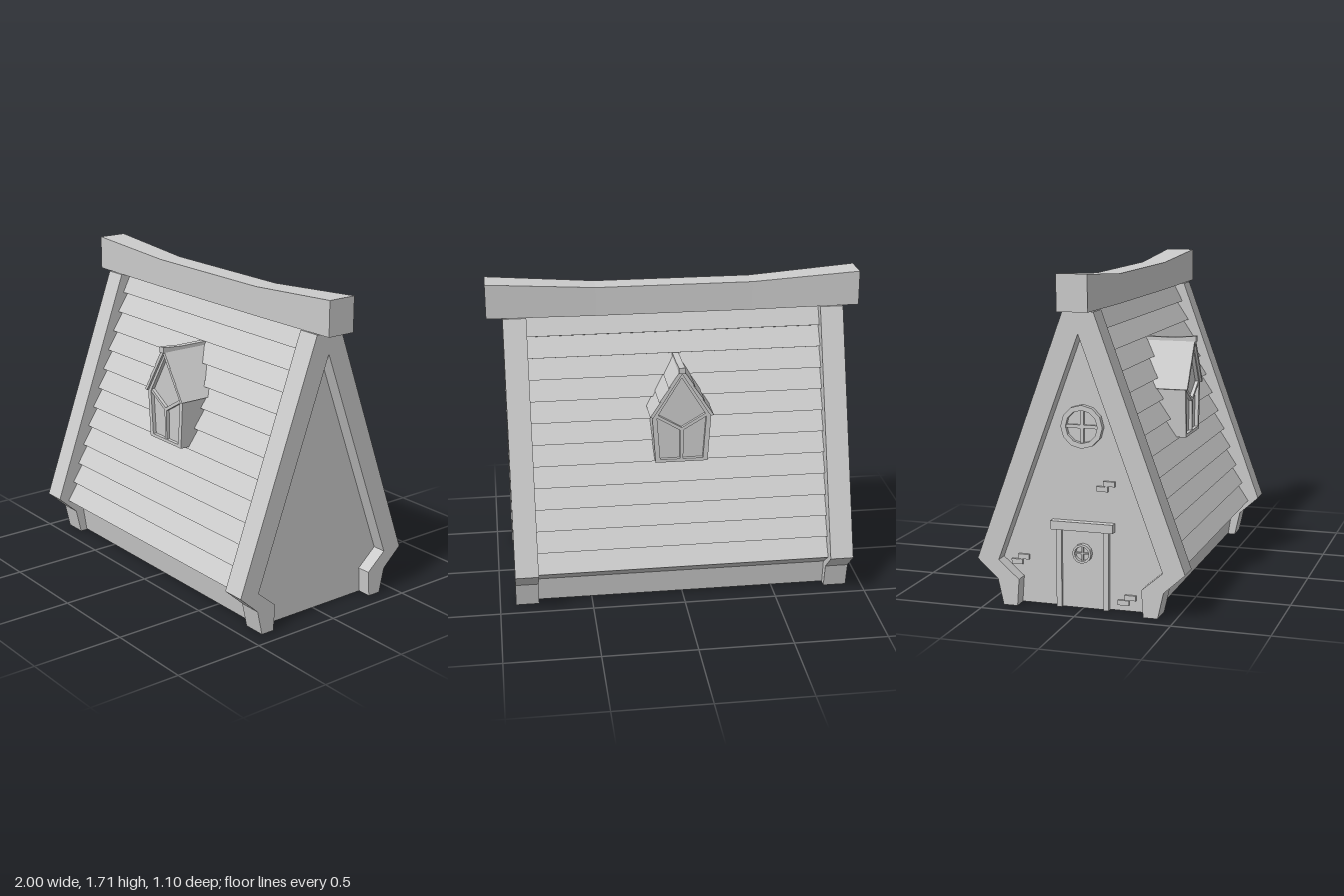
import * as THREE from 'three';

const material = new THREE.MeshStandardMaterial({ color: 0xcccccc, flatShading: true });

function add(parent, name, geometry) {
  const mesh = new THREE.Mesh(geometry, material);
  mesh.name = name;
  parent.add(mesh);
  return mesh;
}

function box(parent, name, w, h, d, x, y, z) {
  const mesh = add(parent, name, new THREE.BoxGeometry(w, h, d));
  mesh.position.set(x, y, z);
  return mesh;
}

// Bar lying in the xy plane between two points
function bar(parent, name, [x1, y1], [x2, y2], width, depth, z) {
  const mesh = box(parent, name, Math.hypot(x2 - x1, y2 - y1), width, depth, (x1 + x2) / 2, (y1 + y2) / 2, z);
  mesh.rotation.z = Math.atan2(y2 - y1, x2 - x1);
  return mesh;
}

const toShape = (points) => new THREE.Shape(points.map(([x, y]) => new THREE.Vector2(x, y)));

// Closes a right half profile with its mirror image
const mirrored = (half) => [...half, ...half.map(([x, y]) => [-x, y]).reverse()];

// Prism from z0 to z1, with an optional hole
function prism(points, z0, z1, hole) {
  const shape = toShape(points);
  if (hole) shape.holes.push(toShape(hole));
  return new THREE.ExtrudeGeometry(shape, { depth: z1 - z0, bevelEnabled: false }).translate(0, 0, z0);
}

// Prism along x from a (z, y) profile
const prismX = (points, x0, x1) => prism(points, -x1, -x0).rotateY(-Math.PI / 2);

// Clapboard roof with eaves and base
function createRoof(house) {
  const half = [[0.37, 0.005], [0.39, 0.14]];
  const lip = (y) => 0.49 - 0.35 * (y - 0.215);
  for (let i = 0; i < 12; i++) {
    const y = 0.215 + 0.109 * i;
    const next = y + 0.109;
    half.push([lip(y), y], [Math.max(lip(next) - 0.028, 0.02), next - 0.01]);
  }
  add(house, 'plankRoof', prismX(mirrored(half), -0.8, 0.8));
}

// Gable frames and recessed end walls
function createGables(house) {
  const outer = [[0.41, 0], [0.44, 0.135], [0.55, 0.235], [0.08, 1.52]];
  const inner = [[0.335, 0], [0.325, 0.14], [0.435, 0.235], [0, 1.41]];
  const left = ([z, y]) => [-z, y];
  const frame = [
    ...outer, ...outer.map(left).reverse(),
    ...inner.slice(0, 3).map(left), ...inner.slice().reverse(),
  ];
  const wall = [[0.338, 0.002], [0.33, 0.14], [0.44, 0.235], [0, 1.42], [-0.44, 0.235], [-0.33, 0.14], [-0.338, 0.002]];
  for (const side of [-1, 1]) {
    const x = side * 0.8525;
    add(house, 'gableFrame', prismX(frame, x - 0.0625, x + 0.0625));
    add(house, 'endWall', prismX(wall, side * 0.81 - 0.03, side * 0.81 + 0.03));
  }
}

// Sagging ridge beam, thicker at both ends
function createRidge(house) {
  const geometry = new THREE.BoxGeometry(2, 1, 1, 3, 1, 1).toNonIndexed();
  const p = geometry.attributes.position;
  for (let i = 0; i < p.count; i++) {
    const end = Math.abs(p.getX(i)) > 0.9;
    const top = end ? 1.71 : 1.67;
    const bottom = end ? 1.525 : 1.515;
    p.setXYZ(i, Math.sign(p.getX(i)) * (end ? 1 : 0.42), p.getY(i) > 0 ? top : bottom,
      Math.sign(p.getZ(i)) * (end ? 0.08 : 0.065));
  }
  geometry.computeVertexNormals();
  add(house, 'ridgeBeam', geometry);
}

// Dormer window facing +z
function createDormer() {
  const dormer = new THREE.Group();
  dormer.name = 'dormer';
  const outline = [[-0.14, 0.77], [0.14, 0.77], [0.158, 1.035], [0, 1.28], [-0.158, 1.035]];
  const opening = [[-0.115, 0.787], [0.115, 0.787], [0.132, 1.03], [0, 1.245], [-0.132, 1.03]];
  add(dormer, 'dormerBody', prism(outline, 0.05, 0.325));
  add(dormer, 'windowFrame', prism(outline, 0.32, 0.345, opening));
  // Y-shaped mullions
  const centre = [0, 0.955];
  for (const end of [[0, 0.78], [0.135, 1.035], [-0.135, 1.035]]) {
    bar(dormer, 'mullion', centre, end, 0.017, 0.02, 0.333);
  }
  // Stepped planks over the dormer
  const slope = [[0.17, 1.035], [0.11, 1.125], [0.122, 1.115], [0.06, 1.205], [0.072, 1.195], [0.012, 1.285]];
  add(dormer, 'dormerRoof', prism([
    ...mirrored(slope), [-0.153, 1.03], [0, 1.27], [0.153, 1.03],
  ], 0.05, 0.357));
  const ridge = [[0.05, 1.27], [0.355, 1.275], [0.365, 1.275], [0.365, 1.307], [0.25, 1.297], [0.05, 1.297]];
  add(dormer, 'dormerRidge', prism(ridge, -0.017, 0.017).rotateY(-Math.PI / 2));
  return dormer;
}

// Round window with crossed bars, facing +z
function roundWindow(parent, name, radius, y, z) {
  const circle = (r) => Array.from({ length: 12 }, (_, i) => {
    const a = (i / 12) * Math.PI * 2;
    return [r * Math.cos(a), y + r * Math.sin(a)];
  });
  add(parent, name + 'Ring', prism(circle(radius), z, z + 0.03, circle(radius * 0.76)));
  add(parent, name + 'Glass', prism(circle(radius * 0.78), z, z + 0.006));
  const r = radius * 0.8;
  bar(parent, name + 'Bar', [-r, y], [r, y], radius * 0.16, 0.02, z + 0.01);
  bar(parent, name + 'Bar', [0, y - r], [0, y + r], radius * 0.16, 0.02, z + 0.01);
}

// Door, round window and loose bricks on one end wall
function createEntrance() {
  const entrance = new THREE.Group();
  entrance.name = 'entrance';
  const z = 0.84;
  box(entrance, 'door', 0.23, 0.4, 0.012, 0, 0.2, z + 0.004);
  for (const side of [-1, 1]) box(entrance, 'doorPost', 0.028, 0.41, 0.03, side * 0.125, 0.205, z + 0.012);
  box(entrance, 'doorLintel', 0.33, 0.045, 0.045, 0, 0.43, z + 0.018);
  roundWindow(entrance, 'doorWindow', 0.05, 0.29, z + 0.008);
  roundWindow(entrance, 'roundWindow', 0.11, 0.94, z);
  for (const [x, y] of [[0.12, 0.64], [0.23, 0.06], [-0.34, 0.23]]) {
    box(entrance, 'brick', 0.06, 0.026, 0.02, x - 0.018, y - 0.014, z + 0.004);
    box(entrance, 'brick', 0.06, 0.026, 0.02, x + 0.018, y + 0.014, z + 0.004);
  }
  entrance.rotation.y = -Math.PI / 2;
  return entrance;
}

export function createModel() {
  const house = new THREE.Group();
  house.name = 'cottage';
  createRoof(house);
  createGables(house);
  createRidge(house);
  const front = createDormer();
  const back = createDormer();
  back.rotation.y = Math.PI;
  house.add(front, back, createEntrance());
  return house;
}
